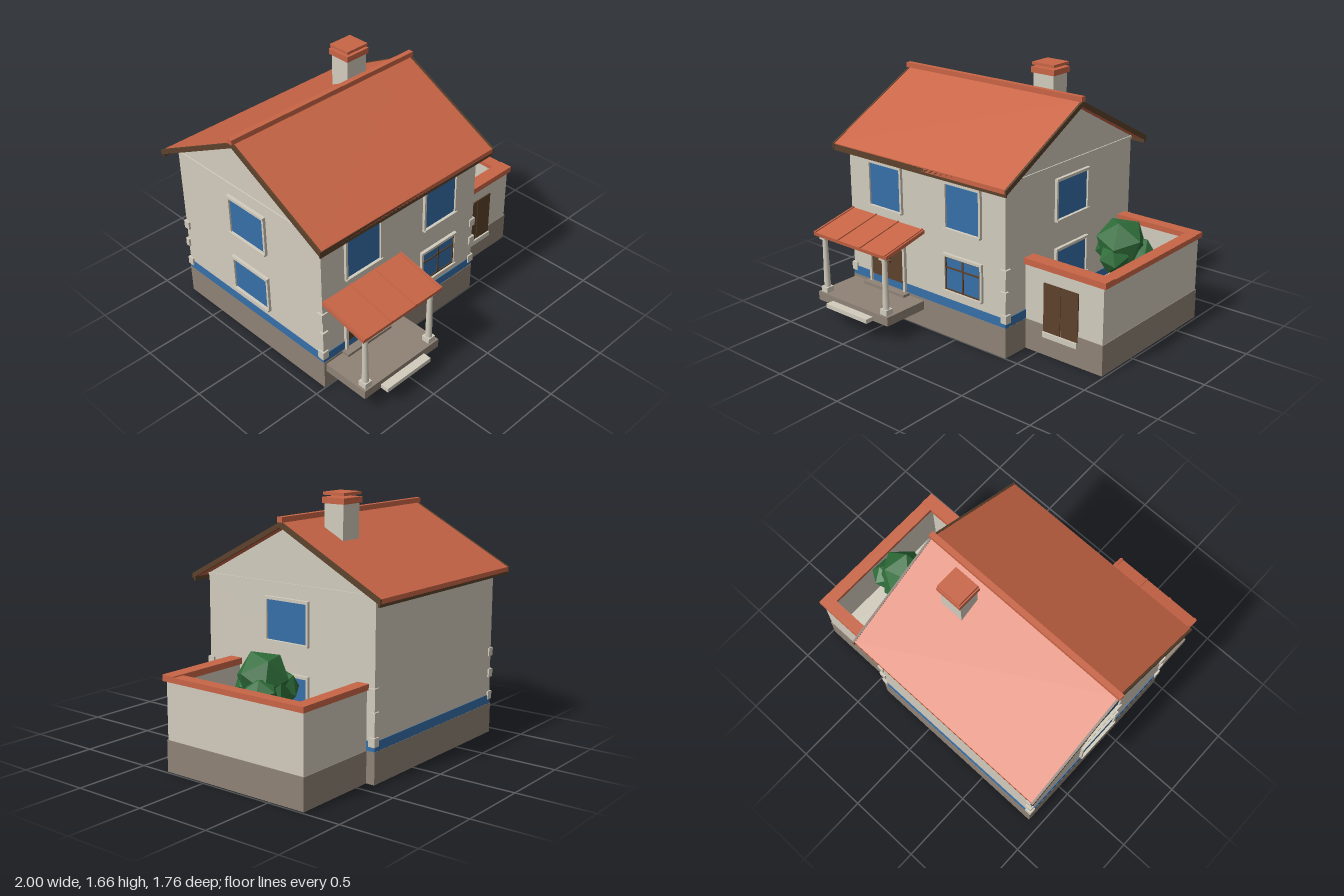
import * as THREE from 'three';

const mat = (name, color) => {
  const m = new THREE.MeshStandardMaterial({ color });
  m.name = name;
  return m;
};

export function createModel() {
  const wall = mat('cream plaster', 0xd2ccbd);
  const tile = mat('terracotta', 0xc96546);
  const stone = mat('foundation stone', 0x8f8275);
  const blue = mat('blue', 0x366fa8);
  const wood = mat('dark wood', 0x5c412b);
  const leaf = mat('leaf green', 0x2f6e3a);
  leaf.flatShading = true;

  const house = new THREE.Group();
  house.name = 'house';

  const add = (name, geo, m, parent = house) => {
    const mesh = new THREE.Mesh(geo, m);
    mesh.name = name;
    parent.add(mesh);
    return mesh;
  };
  // Box given by its limits on each axis
  const box = (name, m, x0, x1, y0, y1, z0, z1, parent = house) => {
    const mesh = add(name, new THREE.BoxGeometry(x1 - x0, y1 - y0, z1 - z0), m, parent);
    mesh.position.set((x0 + x1) / 2, (y0 + y1) / 2, (z0 + z1) / 2);
    return mesh;
  };
  // Prism with a [z, y] outline, running from x0 to x1
  const prism = (name, m, pts, x0, x1) => {
    const shape = new THREE.Shape(pts.map(([z, y]) => new THREE.Vector2(-z, y)));
    const geo = new THREE.ExtrudeGeometry(shape, { depth: x1 - x0, bevelEnabled: false });
    geo.rotateY(Math.PI / 2).translate(x0, 0, 0);
    return add(name, geo, m);
  };

  // Foundations, walls and painted band
  box('houseFoundation', stone, -0.925, 0.405, 0, 0.2, -0.803, 0.497);
  box('yardFoundation', stone, 0.4, 0.985, 0, 0.2, -0.745, 0.305);
  prism('houseWalls', wall,
    [[0.49, 0.2], [0.49, 1.12], [-0.153, 1.46], [-0.797, 1.12], [-0.797, 0.2]], -0.92, 0.4);
  box('baseBand', blue, -0.924, 0.404, 0.2, 0.26, -0.801, 0.494);
  for (const x of [-0.92, 0.4]) box('gableCourse', wall, x - 0.008, x + 0.008, 1.105, 1.122, -0.797, 0.49);

  // Corner stones, alternating long side
  for (const sx of [-1, 1]) for (const sz of [-1, 1]) {
    [0.257, 0.41, 0.553].forEach((y, i) => {
      const q = add('cornerStone', new THREE.BoxGeometry(0.046, 0.055, i === 1 ? 0.03 : 0.046), wall);
      q.position.set(-0.26 + sx * 0.65, y, -0.153 + sz * (i === 1 ? 0.64 : 0.63));
    });
  }

  // Main roof
  const roofBand = (top, bottom, over) => {
    const c = -0.153, h = 0.717 + over, s = 0.525;
    return [[c - h, top - h * s], [c, top], [c + h, top - h * s],
      [c + h, bottom - h * s], [c, bottom], [c - h, bottom - h * s]];
  };
  prism('roofTiles', tile, roofBand(1.494, 1.465, 0), -0.98, 0.46);
  for (const x of [-0.992, 0.458]) prism('bargeboard', wood, roofBand(1.497, 1.463, 0.006), x, x + 0.014);
  for (const z of [-0.868, 0.553]) box('eaveFascia', wood, -0.985, 0.465, 1.07, 1.112, z, z + 0.011);
  box('ridgeCap', tile, -1, 0.475, 1.492, 1.525, -0.171, -0.135);

  // Chimney
  box('chimneyStack', wall, 0.01, 0.17, 1.3, 1.59, -0.39, -0.25);
  box('chimneyCap', tile, 0, 0.182, 1.588, 1.625, -0.405, -0.238);
  box('chimneyCover', tile, 0.005, 0.177, 1.638, 1.656, -0.4, -0.243);

  // Framed window facing +z, centred on its own origin
  const windowUnit = (w, h, x, y, z, turn, bars) => {
    const g = new THREE.Group();
    g.name = 'window';
    const a = w / 2, b = h / 2, t = 0.016;
    box('glass', blue, -a, a, -b, b, 0, 0.006, g);
    for (const s of [-1, 1]) {
      const cx = s * (a + t / 2);
      box('frameSide', wall, cx - t / 2, cx + t / 2, -b, b, 0, 0.018, g);
    }
    box('frameHead', wall, -a - t, a + t, b, b + 0.018, 0, 0.022, g);
    box('frameSill', wall, -a - t, a + t, -b - 0.013, -b, 0, 0.026, g);
    if (bars) {
      box('mullion', wood, -0.005, 0.005, -b, b, 0.006, 0.012, g);
      box('transom', wood, -a, a, 0.034, 0.044, 0.006, 0.012, g);
      for (const s of [-1, 1]) {
        box('sashSide', wood, s * (a - 0.004) - 0.004, s * (a - 0.004) + 0.004, -b, b, 0.006, 0.012, g);
        box('sashRail', wood, -a, a, s * (b - 0.004) - 0.004, s * (b - 0.004) + 0.004, 0.006, 0.012, g);
      }
    }
    g.position.set(x, y, z);
    g.rotation.y = turn;
    house.add(g);
  };
  windowUnit(0.266, 0.285, -0.592, 0.885, 0.49, 0, false);
  windowUnit(0.266, 0.285, 0.068, 0.885, 0.49, 0, false);
  windowUnit(0.286, 0.225, 0.065, 0.44, 0.49, 0, true);
  for (const s of [-1, 1]) {
    const x = s > 0 ? 0.4 : -0.92;
    windowUnit(0.305, 0.25, x, 0.887, -0.15, s * Math.PI / 2, false);
    windowUnit(0.305, 0.225, x, 0.44, -0.15, s * Math.PI / 2, false);
  }

  // Front door
  box('frontDoor', wood, -0.735, -0.445, 0.255, 0.545, 0.488, 0.5);
  for (const x of [-0.752, -0.447]) box('doorJamb', wall, x, x + 0.018, 0.2, 0.55, 0.488, 0.512);
  box('doorHead', wall, -0.752, -0.429, 0.545, 0.565, 0.488, 0.514);
  box('doorKeystone', wall, -0.612, -0.572, 0.525, 0.57, 0.488, 0.525);
  box('doorPanel', wood, -0.62, -0.562, 0.415, 0.485, 0.5, 0.507);
  box('doorHandle', wood, -0.574, -0.562, 0.372, 0.386, 0.5, 0.512);

  // Porch floor and steps
  box('porchDeck', stone, -0.908, -0.275, 0.125, 0.184, 0.48, 0.825);
  box('doorStep', stone, -0.775, -0.405, 0.184, 0.202, 0.48, 0.55);
  box('porchStep', wall, -0.775, -0.405, 0.125, 0.153, 0.8, 0.882);

  // Porch columns
  for (const x of [-0.865, -0.322]) {
    box('columnBase', wall, x - 0.028, x + 0.028, 0.184, 0.22, 0.757, 0.813);
    const shaft = add('columnShaft', new THREE.CylinderGeometry(0.017, 0.022, 0.33, 12), wall);
    shaft.position.set(x, 0.385, 0.785);
    box('columnCapital', wall, x - 0.026, x + 0.026, 0.55, 0.566, 0.76, 0.81);
  }
  box('porchBeam', wood, -0.9, -0.28, 0.564, 0.586, 0.77, 0.8);

  // Porch roof with seams
  const slope = [[0.488, 0.673], [0.83, 0.597], [0.826, 0.573], [0.488, 0.649]];
  prism('porchRoof', tile, slope, -0.92, -0.262);
  for (const x of [-0.912, -0.699, -0.497, -0.284]) {
    prism('porchRoofSeam', tile, [[0.488, 0.68], [0.832, 0.604], [0.83, 0.596], [0.488, 0.672]], x, x + 0.012);
  }

  // Walled yard with coping
  box('yardFrontWall', wall, 0.4, 0.98, 0.2, 0.57, 0.24, 0.3);
  box('yardBackWall', wall, 0.4, 0.98, 0.2, 0.57, -0.74, -0.68);
  box('yardSideWall', wall, 0.92, 0.98, 0.2, 0.57, -0.68, 0.24);
  box('yardFloor', wall, 0.4, 0.92, 0.195, 0.206, -0.68, 0.24);
  box('frontCoping', tile, 0.395, 1, 0.566, 0.606, 0.224, 0.315);
  box('backCoping', tile, 0.395, 1, 0.566, 0.602, -0.755, -0.674);
  box('sideCoping', tile, 0.92, 1, 0.566, 0.6, -0.674, 0.224);

  // Yard gate
  for (const x of [0.545, 0.677]) box('gateLeaf', wood, x, x + 0.126, 0.16, 0.48, 0.296, 0.308);
  box('gateSeam', wood, 0.671, 0.677, 0.16, 0.48, 0.296, 0.304);
  box('gateSill', wall, 0.545, 0.803, 0.125, 0.16, 0.296, 0.32);

  // Yard tree: trunk and faceted leaf clumps
  const trunk = add('treeTrunk', new THREE.CylinderGeometry(0.025, 0.035, 0.32, 7), wood);
  trunk.position.set(0.73, 0.36, -0.24);
  const clumps = [
    [0.73, 0.625, -0.235, 0.165, 0.3], [0.63, 0.55, -0.29, 0.115, 1.1],
    [0.82, 0.55, -0.3, 0.11, 2.0], [0.74, 0.55, -0.15, 0.105, 2.7], [0.72, 0.54, -0.3, 0.11, 0.7],
  ];
  for (const [x, y, z, r, turn] of clumps) {
    const geo = new THREE.IcosahedronGeometry(r, 0);
    geo.rotateX(-Math.atan(0.618)); // a corner points up
    const clump = add('treeLeaves', geo, leaf);
    clump.position.set(x, y, z);
    clump.rotation.y = turn;
  }
  return house;
}
